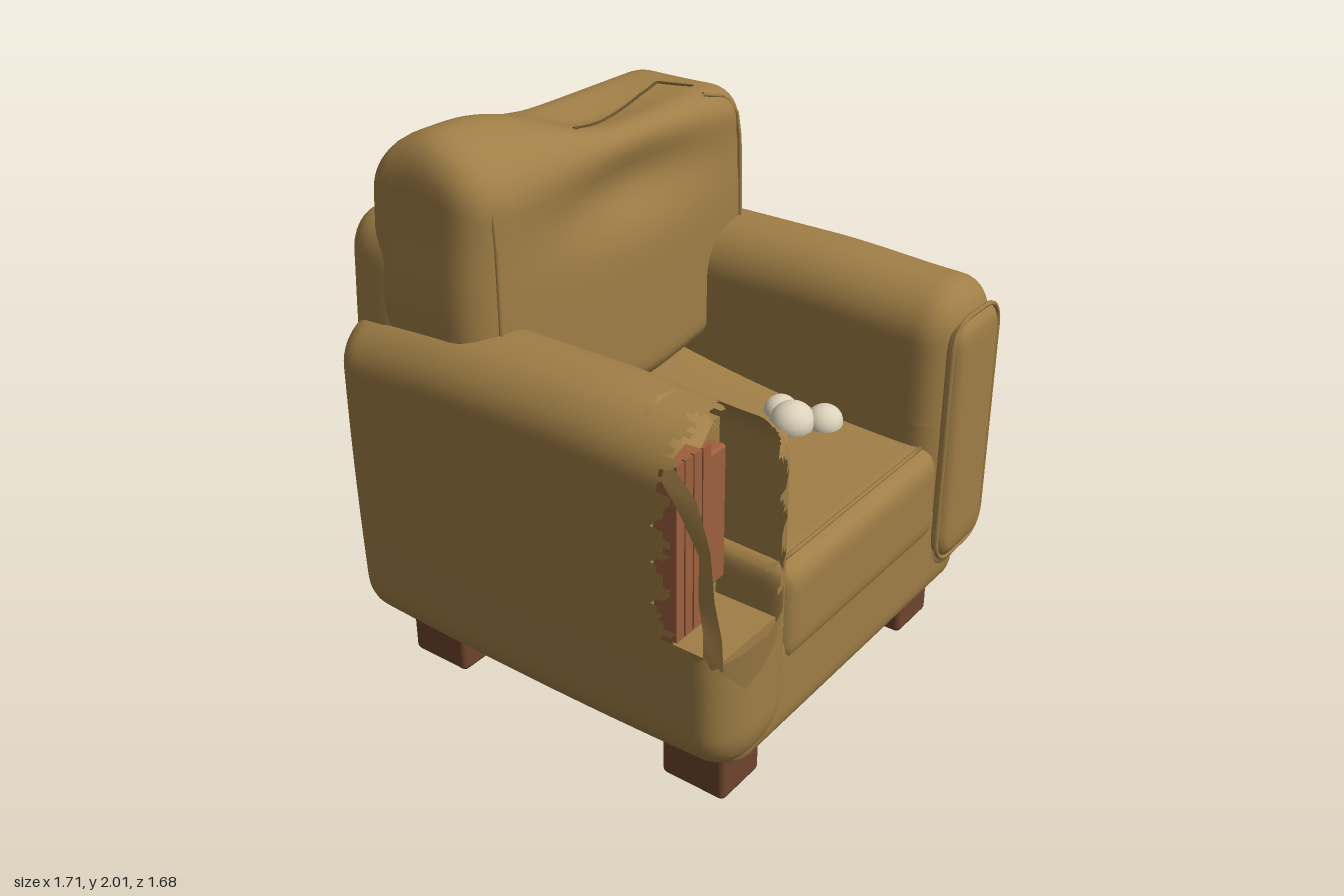
import * as THREE from 'three';
import { mergeVertices } from 'three/addons/utils/BufferGeometryUtils.js';
import { RoundedBoxGeometry } from 'three/addons/geometries/RoundedBoxGeometry.js';

const mat = (name, color, side = THREE.FrontSide) => {
  const m = new THREE.MeshStandardMaterial({ color, side });
  m.name = name;
  return m;
};
const { smoothstep, clamp } = THREE.MathUtils;
const bell = (v, mid, width) => Math.exp(-(((v - mid) / width) ** 2));

export function createModel() {
  const group = new THREE.Group();
  const fabric = mat('tan fabric', 0xa07e46, THREE.DoubleSide);
  const seam = mat('dark seam', 0x66502c, THREE.DoubleSide);
  const legWood = mat('dark wood', 0x6e452e);
  const frameWood = mat('frame wood', 0x9e603e);
  const stuffing = mat('cream stuffing', 0xddd3bc);

  const add = (name, geo, material, x = 0, y = 0, z = 0) => {
    const m = new THREE.Mesh(geo, material);
    m.name = name;
    m.position.set(x, y, z);
    group.add(m);
    return m;
  };

  // Upholstered block: a subdivided box with elliptical edges, a deform rule
  // and an optional test that leaves out torn-away faces
  const puff = (name, min, max, r, deform = () => {}, keep = null) => {
    const size = max.map((v, i) => v - min[i]);
    const step = keep ? 0.025 : 0.035;
    let geo = new THREE.BoxGeometry(...size, ...size.map((s) => Math.ceil(s / step)));
    geo.deleteAttribute('uv');
    geo.deleteAttribute('normal');
    geo.clearGroups();
    geo = mergeVertices(geo, 1e-4);
    const p = geo.attributes.position;
    const v = new THREE.Vector3();
    for (let i = 0; i < p.count; i++) {
      const a = [p.getX(i), p.getY(i), p.getZ(i)];
      const core = a.map((c, k) => clamp(c, r[k] - size[k] / 2, size[k] / 2 - r[k]));
      const d = a.map((c, k) => (c - core[k]) / r[k]);
      const len = Math.hypot(...d) || 1;
      v.set(...core.map((c, k) => c + (d[k] / len) * r[k] + (min[k] + max[k]) / 2));
      deform(v);
      p.setXYZ(i, v.x, v.y, v.z);
    }
    geo.computeVertexNormals();
    if (keep) {
      const idx = geo.index.array, out = [];
      for (let i = 0; i < idx.length; i += 3) {
        const t = [idx[i], idx[i + 1], idx[i + 2]];
        const mean = (f) => t.reduce((s, k) => s + f(k), 0) / 3;
        if (keep(mean((k) => p.getX(k)), mean((k) => p.getY(k)), mean((k) => p.getZ(k)))) out.push(...t);
      }
      geo.setIndex(out);
    }
    return add(name, geo, fabric);
  };

  // Thin cord through a list of points
  const cord = (name, pts, r, material, closed = false) => {
    const path = new THREE.CurvePath();
    const list = closed ? [...pts, pts[0]] : pts;
    for (let i = 1; i < list.length; i++) path.add(new THREE.LineCurve3(list[i - 1], list[i]));
    add(name, new THREE.TubeGeometry(path, list.length * 4, r, 6, closed), material);
  };
  const V = (x, y, z) => new THREE.Vector3(x, y, z);

  // Rounded rectangle of piping on a face of constant z
  const pipingRect = (name, x0, x1, y0, y1, z, c) => {
    const pts = [];
    [[x1 - c, y1 - c], [x0 + c, y1 - c], [x0 + c, y0 + c], [x1 - c, y0 + c]].forEach(([cx, cy], q) => {
      for (let i = 0; i <= 5; i++) {
        const a = (q + i / 5) * Math.PI / 2;
        pts.push(V(cx + c * Math.cos(a), cy + c * Math.sin(a), z));
      }
    });
    cord(name, pts, 0.009, fabric, true);
  };

  // Ragged cloth strip between two edges
  const ribbon = (name, a, b) => {
    const pos = [], idx = [];
    a.forEach((p, i) => {
      pos.push(...p, ...b[i]);
      if (i) idx.push(2 * i - 2, 2 * i - 1, 2 * i, 2 * i - 1, 2 * i + 1, 2 * i);
    });
    const geo = new THREE.BufferGeometry();
    geo.setAttribute('position', new THREE.Float32BufferAttribute(pos, 3));
    geo.setIndex(idx);
    geo.computeVertexNormals();
    add(name, geo, fabric);
  };

  // Base and legs
  puff('base', [-0.74, 0.15, -0.81], [0.74, 0.6, 0.755], [0.1, 0.07, 0.08], (v) => {
    if (v.y < 0.35) v.y += 0.04 * Math.max((v.x / 0.74) ** 2, (v.z / 0.8) ** 4);
  });
  for (const x of [-0.565, 0.565])
    for (const z of [0.547, -0.583])
      add('leg', new RoundedBoxGeometry(0.21, 0.2, 0.25, 3, 0.022), legWood, x, 0.1, z);

  // Seat cushion, rising towards the back and sagging in the middle
  puff('seatCushion', [-0.48, 0.46, -0.6], [0.48, 0.82, 0.775], [0.05, 0.07, 0.07], (v) => {
    const t = clamp((0.72 - v.z) / 1.05, 0, 1);
    const edge = (v.x / 0.45) ** 2;
    if (v.y > 0.65) v.y += t * t * (0.03 + 0.07 * edge) + 0.01 * t;
  });
  cord('seatPiping', [V(-0.47, 0.79, 0.68), V(-0.43, 0.823, 0.715), V(0.43, 0.823, 0.715), V(0.47, 0.79, 0.68)], 0.008, fabric);

  // Back frame
  puff('backFrame', [-0.76, 0.2, -0.82], [0.76, 1.72, -0.5], [0.13, 0.15, 0.13], (v) => {
    if (v.z < -0.7) v.z -= 0.02 * (1 - (v.x / 0.76) ** 2);
    v.x *= 1 - 0.03 * smoothstep(v.y, 1.2, 1.7);
  });
  pipingRect('backPiping', -0.61, 0.61, 0.3, 1.56, -0.828, 0.1);
  const slit = (x0, y0, x1, y1) => cord('backTear', [V(x0, y0, -0.837), V(x1, y1, -0.837)], 0.005, seam);
  slit(0.36, 0.42, 0.36, 0.86);
  slit(0.44, 0.5, 0.22, 0.5);
  slit(-0.33, 0.4, -0.33, 0.85);

  // Back cushion with one high corner and a dented face
  const slump = (v) => {
    const top = smoothstep(v.y, 1.55, 1.88);
    const z0 = v.z;
    v.y += top * (0.115 * smoothstep(-v.x, -0.08, 0.52) * bell(z0, -0.46, 0.2)
      - 0.035 * bell(v.x, 0.15, 0.3) * bell(z0, -0.44, 0.13));
    if (z0 > -0.46) {
      v.z -= 0.07 * bell(v.x, 0.08, 0.4) * bell(v.y, 1.7, 0.13);
      v.z -= 0.08 * smoothstep(-v.y, -1.06, -0.9);
    }
    v.x *= 1 - 0.04 * smoothstep(v.y, 1.4, 1.85);
    if (v.y < 1.1) v.y -= 0.05 * bell(v.x, 0.12, 0.3);
    return v;
  };
  puff('backCushion', [-0.75, 0.92, -0.73], [0.75, 1.895, -0.2], [0.15, 0.13, 0.13], slump);
  const onTop = (x, z) => slump(V(x, 1.896, z));
  const rip = [];
  for (let i = 0; i <= 10; i++) rip.push(onTop(-0.13 + 0.066 * i, -0.33 - 0.015 * i));
  cord('cushionTear', [...rip, onTop(0.56, -0.34)], 0.006, seam);
  for (const s of [-1, 1])
    cord('cushionPiping', [V(0.5 * s, 1.885, -0.27), V(0.6 * s, 1.86, -0.245), V(0.64 * s, 1.8, -0.222),
      V(0.645 * s, 1.7, -0.21), V(0.65 * s, 1.36, -0.205)], 0.008, fabric);

  // Arms; the right one is torn open at its front outer corner
  const armShape = (v) => {
    const k = (v.y - 0.95) / 0.75;
    v.x -= Math.sign(v.x) * (Math.abs(v.x) - 0.645) * 0.09 * k * k;
    if (v.y > 0.9) v.y -= 0.025 * smoothstep(Math.abs(v.z + 0.05), 0.2, 0.75);
    else v.y += 0.02 * (v.z / 0.8) ** 2;
  };
  const jag = (t) => 0.025 * Math.sin(t * 43) + 0.015 * Math.sin(t * 97);
  const intact = (x, y, z) =>
    !(x < -0.545 + jag(y) && y > 0.67 + jag(x) && z > 0.575 + jag(x + y));
  const armR = [0.19, 0.17, 0.12];
  puff('leftArm', [0.435, 0.2, -0.81], [0.855, 1.405, 0.785], armR, armShape);
  puff('rightArm', [-0.855, 0.2, -0.81], [-0.435, 1.405, 0.8], armR, armShape, intact);
  puff('leftArmPanel', [0.49, 0.34, 0.73], [0.805, 1.28, 0.81], [0.1, 0.1, 0.03]);
  pipingRect('leftArmPiping', 0.48, 0.815, 0.335, 1.285, 0.782, 0.1);

  // Exposed frame inside the torn arm
  const box = (name, m, x0, x1, y0, y1, z0, z1) =>
    add(name, new THREE.BoxGeometry(x1 - x0, y1 - y0, z1 - z0), m, (x0 + x1) / 2, (y0 + y1) / 2, (z0 + z1) / 2);
  box('armLining', fabric, -0.82, -0.47, 0.4, 1.27, 0.46, 0.5);
  box('armFloor', fabric, -0.8, -0.5, 0.5, 0.66, 0.5, 0.74);
  box('armPostBack', frameWood, -0.8, -0.63, 0.66, 1.275, 0.5, 0.57);
  for (let i = 0; i < 4; i++)
    box('armPostSlat', frameWood, -0.8 + i * 0.043, -0.763 + i * 0.043, 0.67, 1.28, 0.57, 0.585);
  add('armSidePost', new RoundedBoxGeometry(0.1, 0.47, 0.06, 2, 0.012), frameWood, -0.58, 0.995, 0.54);

  // Loose cloth around the tear
  ribbon('outerFlap',
    [[-0.81, 1.3, 0.56], [-0.835, 1.22, 0.68], [-0.85, 1.08, 0.74], [-0.855, 0.92, 0.76], [-0.83, 0.78, 0.77], [-0.82, 0.66, 0.77]],
    [[-0.83, 1.24, 0.55], [-0.85, 1.17, 0.63], [-0.835, 1.04, 0.69], [-0.85, 0.9, 0.7], [-0.855, 0.8, 0.72], [-0.84, 0.66, 0.71]]);
  ribbon('lowerFlap',
    [[-0.84, 0.66, 0.74], [-0.78, 0.72, 0.81], [-0.7, 0.75, 0.84], [-0.62, 0.77, 0.83], [-0.55, 0.73, 0.79]],
    [[-0.81, 0.64, 0.78], [-0.75, 0.57, 0.803], [-0.67, 0.6, 0.806], [-0.6, 0.64, 0.804], [-0.53, 0.67, 0.79]]);
  ribbon('upperFlap',
    [[-0.8, 1.3, 0.45], [-0.74, 1.385, 0.43], [-0.67, 1.4, 0.42], [-0.6, 1.395, 0.43], [-0.55, 1.36, 0.46]],
    [[-0.8, 1.27, 0.55], [-0.75, 1.33, 0.58], [-0.69, 1.29, 0.59], [-0.62, 1.34, 0.58], [-0.56, 1.28, 0.57]]);

  // Stuffing and tear on the seat
  [[0.29, 0.85, 0.28, 0.084], [0.345, 0.845, 0.195, 0.064], [0.375, 0.84, 0.36, 0.07]].forEach(([x, y, z, r]) =>
    add('stuffing', new THREE.SphereGeometry(r, 24, 16), stuffing, x, y, z).scale.set(1, 0.9, 0.95));
  ribbon('seatTear',
    [[0.03, 0.832, 0.41], [0.1, 0.85, 0.35], [0.17, 0.855, 0.3], [0.24, 0.86, 0.27]],
    [[0.04, 0.83, 0.41], [0.13, 0.84, 0.36], [0.2, 0.845, 0.32], [0.26, 0.845, 0.3]]);

  return group;
}
